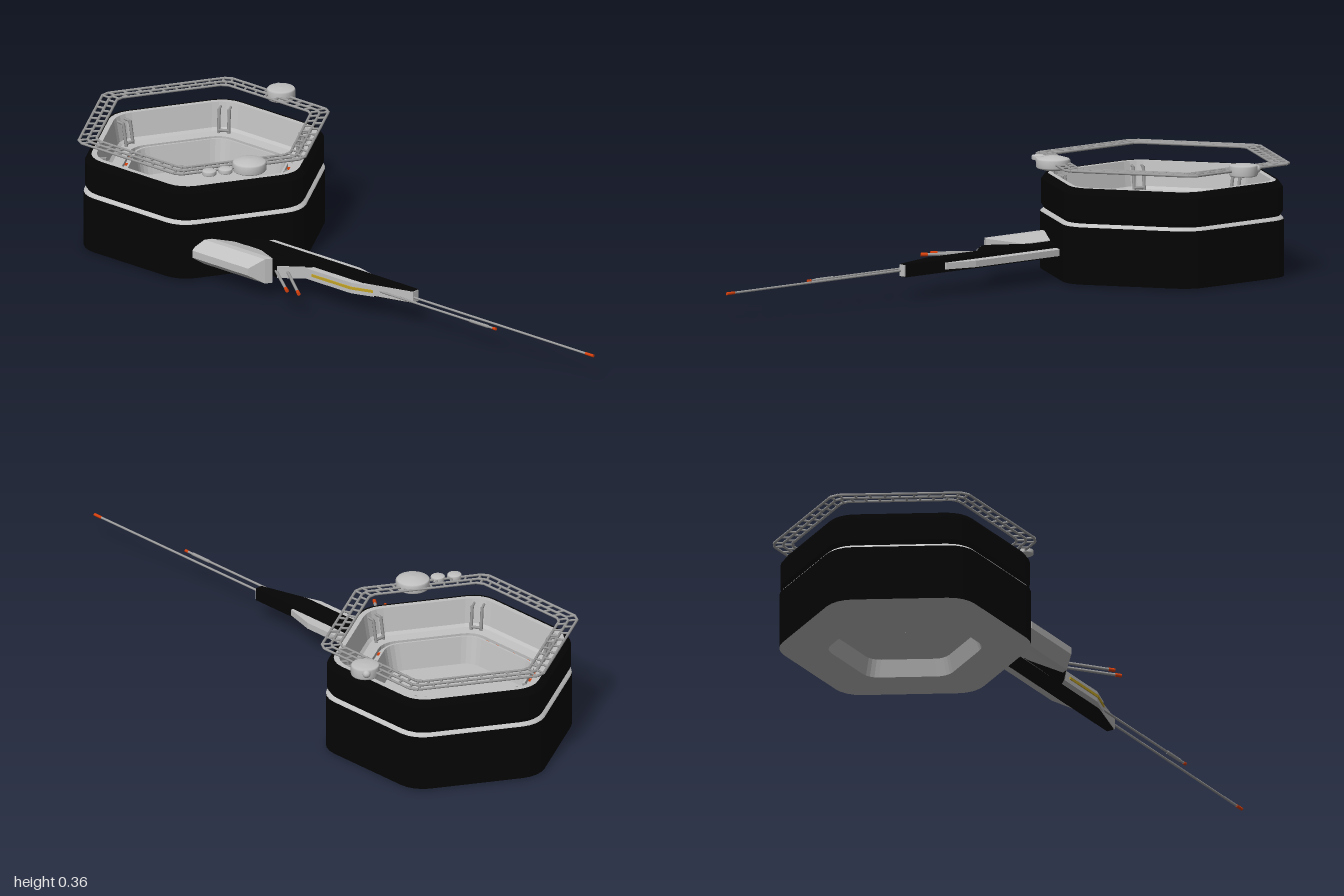
import * as THREE from 'three';
import { ConvexGeometry } from 'three/addons/geometries/ConvexGeometry.js';

const CX = -0.023, CZ = -0.614, GUN_Y = 0.084;
const mat = (name, color) => Object.assign(new THREE.MeshStandardMaterial({ color }), { name });

// Points of a hexagon with rounded corners, flat sides at +x and -x
function hexRing(ap, y, round = 0.27, seg = 4) {
  const pts = [], r = ap * round, d = (ap - r) / Math.cos(Math.PI / 6);
  for (let k = 0; k < 6; k++) {
    const t = Math.PI / 6 + k * Math.PI / 3;
    for (let i = 0; i <= seg; i++) {
      const a = t + (i / seg - 0.5) * Math.PI / 3;
      pts.push(new THREE.Vector3(d * Math.cos(t) + r * Math.cos(a), y, d * Math.sin(t) + r * Math.sin(a)));
    }
  }
  return pts;
}

// Skin between hexagon rings given as [apothem, y]
function hexLoft(profile) {
  const rings = profile.map(([ap, y]) => hexRing(ap, y)), pos = [];
  for (let i = 0; i + 1 < rings.length; i++) {
    const n = rings[i].length;
    for (let j = 0; j < n; j++) {
      const k = (j + 1) % n;
      const a = rings[i][j], b = rings[i][k], c = rings[i + 1][k], d = rings[i + 1][j];
      for (const p of [a, d, b, b, d, c]) pos.push(p.x, p.y, p.z);
    }
  }
  const g = new THREE.BufferGeometry();
  g.setAttribute('position', new THREE.Float32BufferAttribute(pos, 3));
  g.computeVertexNormals();
  return g;
}

// Plate from an [x, z] outline between two heights
function plate(outline, y0, y1) {
  const s = new THREE.Shape(outline.map(([x, z]) => new THREE.Vector2(x, -z)));
  return new THREE.ExtrudeGeometry(s, { depth: y1 - y0, bevelEnabled: false }).rotateX(-Math.PI / 2).translate(0, y0, 0);
}

// Round bar between two points
function bar(p, q, r, sides = 6) {
  const d = q.clone().sub(p);
  const g = new THREE.CylinderGeometry(r, r, d.length(), sides);
  g.applyQuaternion(new THREE.Quaternion().setFromUnitVectors(new THREE.Vector3(0, 1, 0), d.normalize()));
  return g.translate((p.x + q.x) / 2, (p.y + q.y) / 2, (p.z + q.z) / 2);
}

export function createModel() {
  const black = mat('black hull', 0x040404), grey = mat('light grey', 0xc0c0c0);
  const steel = mat('steel grey', 0x9c9c9c), orange = mat('orange light', 0xd8400c), gold = mat('gold', 0xc4a428);
  const model = new THREE.Group();
  const add = (parent, name, geo, material) => {
    const m = new THREE.Mesh(geo, material);
    m.name = name;
    parent.add(m);
  };
  const group = (parent, name, x = 0, z = 0, turn = 0) => {
    const g = new THREE.Group();
    g.name = name;
    g.position.set(x, 0, z);
    g.rotation.y = turn;
    parent.add(g);
    return g;
  };
  const V = (x, y, z) => new THREE.Vector3(x, y, z);

  // Hexagonal hull, from the underside recess up and over into the stepped basin
  const hull = group(model, 'hull', CX, CZ);
  add(hull, 'underside', hexLoft([[0.001, 0.05], [0.185, 0.05], [0.2, 0], [0.285, 0], [0.329, 0.005]]), grey);
  add(hull, 'lowerHull', hexLoft([[0.329, 0.005], [0.329, 0.173]]), black);
  add(hull, 'lightBand', hexLoft([[0.329, 0.173], [0.327, 0.176], [0.319, 0.183]]), grey);
  add(hull, 'upperHull', hexLoft([[0.319, 0.183], [0.326, 0.195], [0.326, 0.268], [0.314, 0.285], [0.308, 0.285]]), black);
  add(hull, 'basin', hexLoft([[0.308, 0.285], [0.293, 0.285], [0.28, 0.212], [0.272, 0.204], [0.241, 0.2], [0.241, 0.188],
    [0.228, 0.188], [0.228, 0.2], [0.222, 0.2], [0.206, 0.12], [0.001, 0.12]]), grey);

  // Corner brackets on the shelf and small lights in the groove
  for (let k = 0; k < 6; k++) {
    const corner = group(hull, 'cornerBracket', 0, 0, -(Math.PI / 6 + k * Math.PI / 3));
    for (const s of [-0.015, 0.015]) {
      add(corner, 'bracketPost', bar(V(0.288, 0.2, s), V(0.3, 0.272, s), 0.005), steel);
      add(corner, 'bracketArm', bar(V(0.3, 0.27, s), V(0.325, 0.272, s), 0.004), steel);
    }
    add(corner, 'bracketBar', bar(V(0.289, 0.21, -0.015), V(0.289, 0.21, 0.015), 0.005), steel);
    const side = group(hull, 'basinLights', 0, 0, -k * Math.PI / 3);
    for (const z of [-0.085, -0.045, 0.025, 0.085])
      add(side, 'basinLight', new THREE.BoxGeometry(0.011, 0.004, 0.013).translate(0.2345, 0.19, z), orange);
  }

  // Floating lattice rail with staggered rungs
  const rail = group(model, 'latticeRail', CX, CZ - 0.003);
  const rings = [0.335, 0.311, 0.287].map((ap) => hexRing(ap, 0.337, 0.08, 1));
  for (const ring of rings)
    ring.forEach((p, i) => add(rail, 'railBar', bar(p, ring[(i + 1) % ring.length], 0.004), steel));
  for (let r = 0; r < 2; r++) {
    for (let i = 0; i < 12; i++) {
      const j = (i + 1) % 12, n = i % 2 ? 8 : 1;
      for (let t = 0; t < n; t++) {
        const f = (t + r * 0.5) / n;
        add(rail, 'railRung', bar(rings[r][i].clone().lerp(rings[r][j], f),
          rings[r + 1][i].clone().lerp(rings[r + 1][j], f), 0.0035), steel);
      }
    }
  }

  // Domed pods on the rail: x, z, radius, half height, rim half height
  const pods = [[-0.167, -0.315, 0.05, 0.022, 0.013], [0.319, -0.617, 0.042, 0.019, 0.015],
    [-0.284, -0.368, 0.021, 0.009, 0.006], [-0.241, -0.343, 0.021, 0.009, 0.006]];
  for (const [x, z, r, h, e] of pods) {
    const prof = [[0, -h], [r * 0.5, -h * 0.92], [r * 0.93, -e * 1.08], [r, -e * 0.8],
      [r, e * 0.8], [r * 0.93, e * 1.08], [r * 0.5, h * 0.92], [0, h]];
    const g = new THREE.LatheGeometry(prof.map(([a, b]) => new THREE.Vector2(a, b)), 24);
    add(model, 'railPod', g.translate(x, 0.337, z), grey);
  }
  add(model, 'podKnob', new THREE.SphereGeometry(0.012, 10, 8).translate(0.343, 0.341, -0.648), grey);

  // Forward arm with side plates
  const arm = group(model, 'forwardArm');
  add(arm, 'armSpine', plate([[-0.196, -0.33], [-0.132, -0.33], [-0.132, 0.305], [-0.155, 0.305], [-0.196, 0.16]], 0.066, 0.104), black);
  add(arm, 'armNoseFace', plate([[-0.198, 0.155], [-0.195, 0.155], [-0.154, 0.3], [-0.154, 0.305], [-0.134, 0.305],
    [-0.134, 0.308], [-0.157, 0.308]], 0.068, 0.102), grey);
  add(arm, 'leftArmPlate', plate([[-0.217, -0.3], [-0.194, -0.3], [-0.194, 0.19], [-0.217, 0.12]], 0.067, 0.1), grey);
  add(arm, 'rightArmPlate', plate([[-0.134, -0.3], [-0.1, -0.3], [-0.1, 0.055], [-0.125, 0.15], [-0.134, 0.15]], 0.075, 0.094), grey);
  add(arm, 'goldStrip', plate([[-0.22, -0.03], [-0.216, -0.03], [-0.216, 0.12], [-0.196, 0.183], [-0.198, 0.188], [-0.22, 0.121]],
    0.08, 0.088), gold);

  // Side housing, its nose cut back on both sides: x, half height, front z
  const section = [[-0.322, 0.011, -0.185], [-0.285, 0.038, -0.152], [-0.265, 0.038, -0.14], [-0.205, 0.02, -0.235]];
  const pts = [];
  for (const [x, h, z] of section)
    for (const s of [-1, 1]) pts.push(V(x, GUN_Y + s * h, -0.4), V(x, GUN_Y + s * h, z));
  add(model, 'sideHousing', new ConvexGeometry(pts), grey);

  // Brace between housing and arm, with a light front face
  add(model, 'armBrace', plate([[-0.265, -0.122], [-0.26, -0.155], [-0.2, -0.25], [-0.196, -0.04], [-0.217, -0.06]], 0.066, 0.104), black);
  add(model, 'braceFace', plate([[-0.267, -0.122], [-0.264, -0.124], [-0.216, -0.062], [-0.216, -0.055]], 0.066, 0.103), grey);

  // Needles and twin barrels, each with an orange tip: start, end, radius, tip length
  const rods = [
    ['longNeedle', V(-0.153, GUN_Y, 0.3), V(-0.153, GUN_Y, 1), 0.0035, 0.03],
    ['shortNeedle', V(-0.182, GUN_Y, 0.15), V(-0.182, GUN_Y, 0.65), 0.0035, 0.012],
    ['twinBarrel', V(-0.238, GUN_Y, -0.16), V(-0.357, GUN_Y, -0.004), 0.0045, 0.02],
    ['twinBarrel', V(-0.205, GUN_Y, -0.15), V(-0.353, GUN_Y, 0.038), 0.0045, 0.02]];
  for (const [name, a, b, r, tip] of rods) {
    const neck = b.clone().addScaledVector(b.clone().sub(a).normalize(), -tip);
    add(model, name, bar(a, neck, r, 8), steel);
    add(model, name + 'Tip', bar(neck, b, r + 0.001, 8), orange);
  }
  add(model, 'needleSleeve', bar(V(-0.182, GUN_Y, 0.55), V(-0.182, GUN_Y, 0.62), 0.005, 8), steel);
  return model;
}
